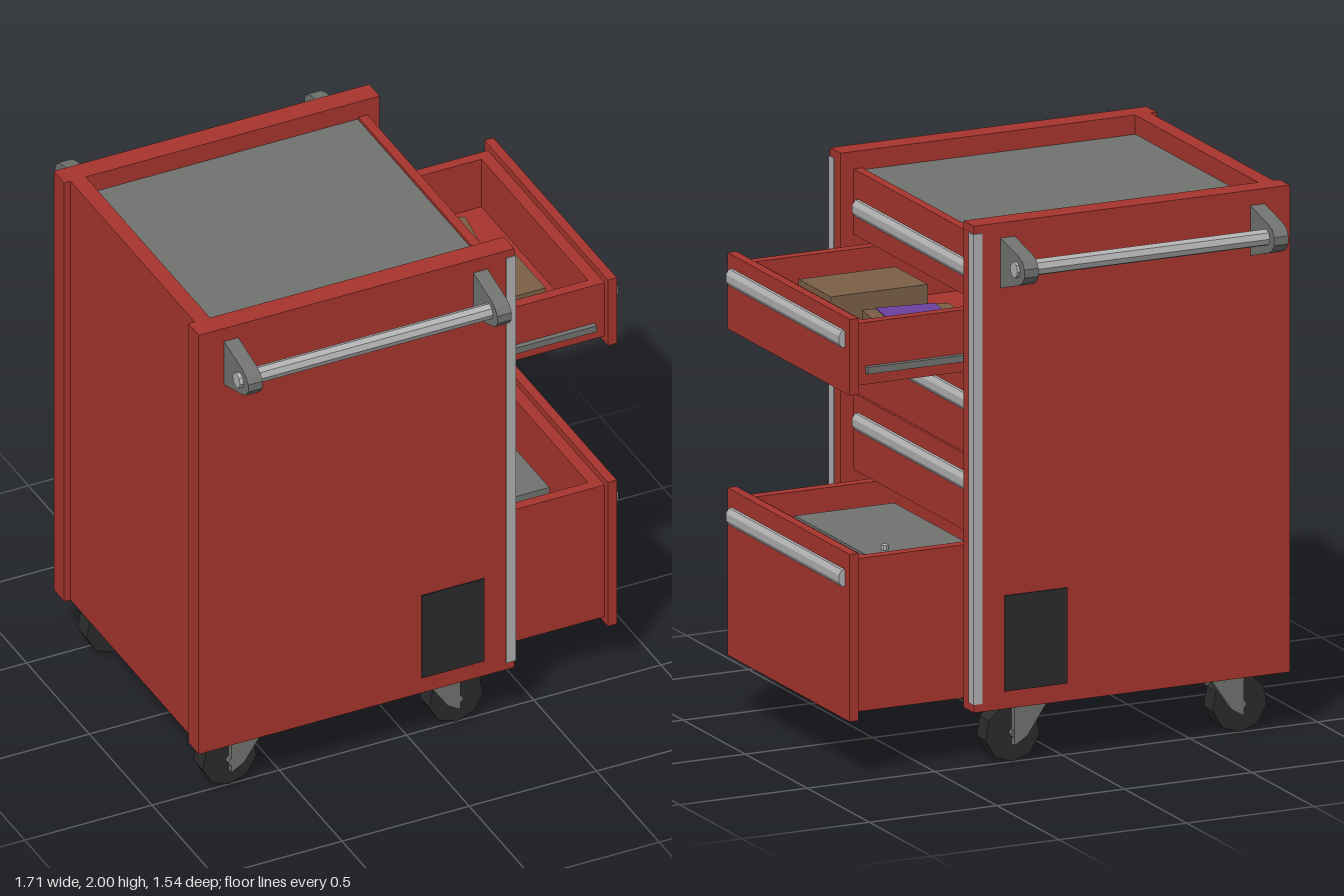
import * as THREE from 'three';

const mat = (name, color) => {
  const m = new THREE.MeshStandardMaterial({ color, flatShading: true });
  m.name = name;
  return m;
};

export function createModel() {
  const red = mat('red paint', 0xa8352e);
  const grey = mat('steel grey', 0x70736f);
  const silver = mat('silver', 0xb0b1b0);
  const black = mat('black rubber', 0x2b2b2b);
  const brown = mat('cardboard brown', 0x7b5f47);
  const purple = mat('purple', 0x6c409e);
  const root = new THREE.Group();
  root.name = 'toolCart';

  const add = (parent, name, geo, material) => {
    const m = new THREE.Mesh(geo, material);
    m.name = name;
    parent.add(m);
    return m;
  };
  // Box given by its two extreme corners
  const box = (parent, name, material, x0, x1, y0, y1, z0, z1) => {
    const m = add(parent, name, new THREE.BoxGeometry(x1 - x0, y1 - y0, z1 - z0), material);
    m.position.set((x0 + x1) / 2, (y0 + y1) / 2, (z0 + z1) / 2);
    return m;
  };
  // Outline extruded along z, centred on z = 0
  const plate = (points, depth) => {
    const shape = new THREE.Shape(points.map(([x, y]) => new THREE.Vector2(x, y)));
    return new THREE.ExtrudeGeometry(shape, { depth, bevelEnabled: false }).translate(0, 0, -depth / 2);
  };

  // Cabinet shell
  const cabinet = new THREE.Group();
  cabinet.name = 'cabinet';
  root.add(cabinet);
  box(cabinet, 'backPanel', red, -0.83, -0.77, 0.22, 2, -0.495, 0.495);
  box(cabinet, 'floorPanel', red, -0.77, 0.3, 0.225, 0.243, -0.495, 0.495);
  box(cabinet, 'topPanel', red, -0.77, 0.3, 1.9, 1.922, -0.495, 0.495);
  box(cabinet, 'topMat', grey, -0.77, 0.297, 1.922, 1.93, -0.492, 0.492);

  // Side panels with corner trim, vent, and push handle
  for (const s of [1, -1]) {
    const side = new THREE.Group();
    side.name = s > 0 ? 'leftSide' : 'rightSide';
    root.add(side);
    const sbox = (name, m, x0, x1, y0, y1, z0, z1) =>
      box(side, name, m, x0, x1, y0, y1, Math.min(s * z0, s * z1), Math.max(s * z0, s * z1));
    sbox('sidePanel', red, -0.855, 0.385, 0.22, 2, 0.495, 0.578);
    sbox('cornerTrim', silver, 0.352, 0.389, 0.25, 1.97, 0.543, 0.582);
    sbox('ventPlate', black, 0.02, 0.265, 0.285, 0.635, 0.577, 0.583);

    const bracketOutline = [[0.575, 1.76], [0.72, 1.805], [0.752, 1.82], [0.77, 1.845],
      [0.77, 1.875], [0.752, 1.9], [0.72, 1.913], [0.575, 1.945]];
    for (const x of [-0.727, 0.252]) {
      const b = add(side, 'handleBracket', plate(bracketOutline, 0.056), grey);
      b.rotation.y = -s * Math.PI / 2;
      b.position.x = x;
    }
    const bar = add(side, 'handleBar', new THREE.CylinderGeometry(0.03, 0.03, 1.06, 8), silver);
    bar.rotation.set(Math.PI / 8, 0, Math.PI / 2, 'ZYX');
    bar.rotation.set(0, 0, Math.PI / 2);
    bar.position.set(-0.24, 1.86, s * 0.705);
  }

  // Drawers: front plate, pull and open tray, slid out by "front"
  const pullOutline = [[-0.002, -0.032], [0.012, -0.032], [0.024, -0.014], [0.024, 0.012],
    [0.012, 0.03], [-0.002, 0.03]];
  const drawer = (y0, y1, pullY, front, slides) => {
    const g = new THREE.Group();
    g.name = 'drawer';
    g.position.x = front;
    root.add(g);
    box(g, 'drawerFront', red, -0.035, 0, y0 + 0.003, y1 - 0.003, -0.492, 0.492);
    const pull = add(g, 'drawerPull', plate(pullOutline, 0.91), silver);
    pull.position.y = pullY;
    const b = y0 + 0.028, t = Math.min(y1 - 0.03, 1.89), back = -1.03;
    box(g, 'trayFloor', red, back, -0.035, b, b + 0.025, -0.465, 0.465);
    box(g, 'trayBack', red, back, back + 0.04, b + 0.025, t, -0.425, 0.425);
    box(g, 'trayFrontWall', red, -0.08, -0.035, b + 0.025, t, -0.425, 0.425);
    for (const s of [1, -1]) {
      box(g, 'traySide', red, back, -0.035, b + 0.025, t, s * 0.445 - 0.02, s * 0.445 + 0.02);
      if (slides)
        box(g, 'drawerSlide', grey, -0.7, -0.075, y0 + 0.07, y0 + 0.095, s * 0.474 - 0.011, s * 0.474 + 0.011);
    }
  };
  drawer(1.695, 1.94, 1.805, 0.335, false);
  drawer(1.41, 1.695, 1.612, 0.83, true);
  drawer(1.12, 1.41, 1.317, 0.335, false);
  drawer(0.835, 1.12, 1.025, 0.335, false);
  drawer(0.217, 0.835, 0.738, 0.83, false);

  // Cartons in the upper open drawer
  const contents = new THREE.Group();
  contents.name = 'drawerContents';
  root.add(contents);
  box(contents, 'carton', brown, 0.25, 0.63, 1.463, 1.61, 0.07, 0.33);
  const pack = new THREE.Group();
  pack.name = 'bandedCarton';
  pack.position.set(0.42, 1.463, -0.165);
  pack.rotation.y = -0.155;
  contents.add(pack);
  box(pack, 'cartonBody', brown, -0.16, 0.16, 0, 0.12, -0.097, 0.097);
  box(pack, 'cartonBand', purple, -0.11, 0.11, 0.001, 0.123, -0.1, 0.1);

  // Lidded case in the lower open drawer
  box(contents, 'caseBody', grey, 0.27, 0.64, 0.27, 0.72, -0.27, 0.31);
  box(contents, 'caseLid', grey, 0.26, 0.65, 0.72, 0.75, -0.28, 0.32);
  const knob = add(contents, 'caseKnob', new THREE.CylinderGeometry(0.014, 0.014, 0.02, 8), silver);
  knob.position.set(0.56, 0.758, -0.22);

  // Casters trail inward from their wheels
  const forkOutline = [[-0.005, 0.22], [-0.005, 0.065], [0.045, 0.095], [0.13, 0.22]];
  for (const [x, dir] of [[-0.695, 1], [0.195, -1]]) for (const s of [1, -1]) {
    const c = new THREE.Group();
    c.name = 'caster';
    c.position.set(x, 0, s * 0.463);
    c.rotation.y = dir > 0 ? 0 : Math.PI;
    root.add(c);
    const wheel = add(c, 'wheel', new THREE.CylinderGeometry(0.107, 0.107, 0.075, 9), black);
    wheel.rotation.x = Math.PI / 2;
    wheel.position.y = 0.107;
    for (const f of [1, -1])
      add(c, 'forkPlate', plate(forkOutline, 0.024), grey).position.z = f * 0.051;
    box(c, 'forkTop', grey, 0, 0.13, 0.205, 0.228, -0.063, 0.063);
    const axle = add(c, 'axle', new THREE.CylinderGeometry(0.016, 0.016, 0.12, 8), grey);
    axle.rotation.x = Math.PI / 2;
    axle.position.y = 0.107;
  }
  return root;
}
